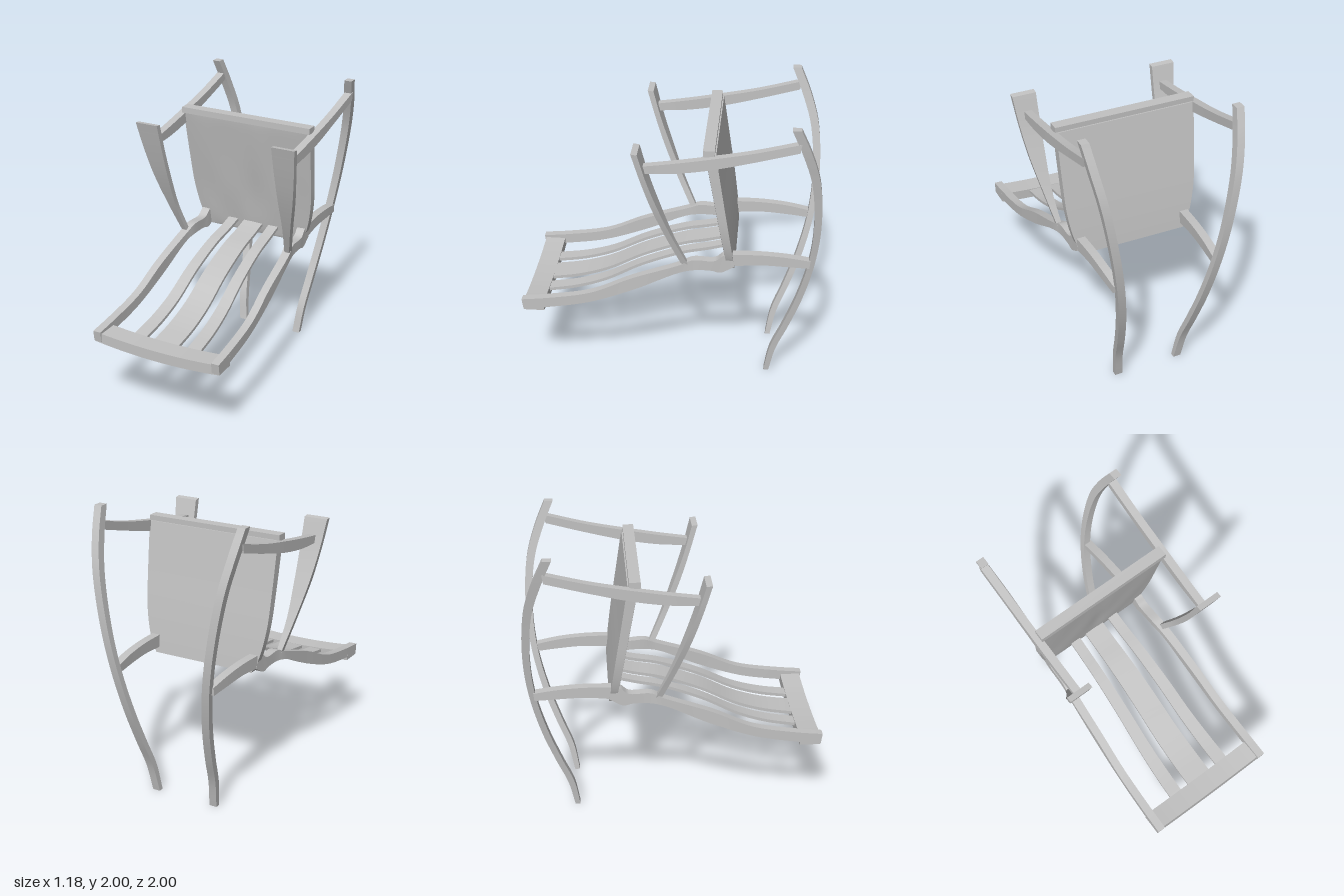
import * as THREE from 'three';

const grey = new THREE.MeshStandardMaterial({ color: 0xc2c2c2 });
grey.name = 'plain grey';
const greySheet = new THREE.MeshStandardMaterial({ color: 0xc2c2c2, side: THREE.DoubleSide });
greySheet.name = 'plain grey cloth';

// Smooth four-sided bar. Each row is [x0, x1, zA, yA, zB, yB]:
// the section spans x0..x1 and runs from edge A to edge B.
function barGeometry(rows, side = 1, perRow = 6) {
  const corner = (r, k) => new THREE.Vector3(side * (k === 1 || k === 2 ? r[1] : r[0]),
    k < 2 ? r[3] : r[5], k < 2 ? r[2] : r[4]);
  const n = (rows.length - 1) * perRow;
  const lines = [0, 1, 2, 3].map(k =>
    new THREE.CatmullRomCurve3(rows.map(r => corner(r, k))).getPoints(n));
  const pos = [], idx = [];
  const put = v => pos.push(v.x, v.y, v.z);
  // separate strips per side keep the long edges sharp
  for (let k = 0; k < 4; k++) {
    const base = pos.length / 3;
    for (let i = 0; i <= n; i++) { put(lines[k][i]); put(lines[(k + 1) % 4][i]); }
    for (let i = 0; i < n; i++) {
      const a = base + i * 2;
      idx.push(a, a + 1, a + 2, a + 1, a + 3, a + 2);
    }
  }
  // end caps
  for (const [i, order] of [[0, [0, 3, 2, 1]], [n, [0, 1, 2, 3]]]) {
    const b = pos.length / 3;
    order.forEach(k => put(lines[k][i]));
    idx.push(b, b + 1, b + 2, b, b + 2, b + 3);
  }
  // turn all faces outward, whichever way the bar runs
  const at = i => new THREE.Vector3().fromArray(pos, i * 3);
  let volume = 0;
  for (let i = 0; i < idx.length; i += 3) {
    volume += at(idx[i]).dot(at(idx[i + 1]).cross(at(idx[i + 2])));
  }
  if (volume < 0) idx.reverse();
  const g = new THREE.BufferGeometry();
  g.setAttribute('position', new THREE.Float32BufferAttribute(pos, 3));
  g.setIndex(idx);
  g.computeVertexNormals();
  return g;
}

export function createModel() {
  const model = new THREE.Group();
  model.name = 'chair';
  const add = (name, geometry, material = grey) => {
    const mesh = new THREE.Mesh(geometry, material);
    mesh.name = name;
    model.add(mesh);
    return mesh;
  };
  const pair = (name, rows) => {
    add('left' + name, barGeometry(rows, 1));
    add('right' + name, barGeometry(rows, -1));
  };

  // long bowed back posts: [y, centre x, front z, back z]
  pair('BackPost', [
    [0, 0.225, -0.66, -0.695], [0.2, 0.245, -0.695, -0.738], [0.4, 0.268, -0.77, -0.815],
    [0.65, 0.3, -0.855, -0.9], [0.95, 0.343, -0.925, -0.968], [1.25, 0.392, -0.948, -0.995],
    [1.6, 0.452, -0.918, -0.973], [1.82, 0.492, -0.85, -0.91], [2, 0.52, -0.775, -0.833],
  ].map(([y, x, f, b]) => [x - 0.027, x + 0.027, f, y, b, y]));

  // arms
  pair('Arm', [
    [0.47, 0.522, 0.165, 1.705, 0.155, 1.655],
    [0.472, 0.525, -0.04, 1.735, -0.04, 1.665],
    [0.475, 0.528, -0.27, 1.775, -0.27, 1.7],
    [0.478, 0.53, -0.55, 1.83, -0.54, 1.765],
    [0.48, 0.535, -0.84, 1.905, -0.83, 1.845],
  ]);

  // tapering front arm supports
  pair('ArmSupport', [
    [0.39, 0.425, -0.085, 0.95, -0.13, 0.945],
    [0.415, 0.475, 0.01, 1.17, -0.035, 1.16],
    [0.42, 0.53, 0.1, 1.41, 0.055, 1.4],
    [0.422, 0.565, 0.165, 1.62, 0.125, 1.61],
    [0.425, 0.59, 0.22, 1.82, 0.18, 1.815],
  ]);

  // wavy seat rails
  pair('SeatRail', [
    [0.415, 0.47, 1, 0.635, 0.99, 0.56],
    [0.412, 0.467, 0.82, 0.655, 0.82, 0.582],
    [0.404, 0.459, 0.52, 0.71, 0.54, 0.632],
    [0.392, 0.447, 0.25, 0.828, 0.23, 0.743],
    [0.373, 0.432, -0.075, 0.94, -0.065, 0.878],
    [0.36, 0.42, -0.16, 0.975, -0.17, 0.9],
    [0.355, 0.415, -0.31, 0.975, -0.29, 0.898],
    [0.352, 0.412, -0.365, 1.015, -0.345, 0.885],
    [0.35, 0.41, -0.42, 1.025, -0.44, 0.935],
  ]);

  // rails joining the seat to the back posts
  pair('RearRail', [
    [0.35, 0.41, -0.4, 1.024, -0.4, 0.935],
    [0.345, 0.402, -0.6, 1.026, -0.6, 0.95],
    [0.338, 0.395, -0.78, 1.012, -0.78, 0.942],
    [0.328, 0.385, -0.94, 0.985, -0.935, 0.93],
  ]);

  // seat slats, narrowing toward the back: [z, top y, side inner x, side outer x, middle half width]
  const slatPath = [
    [0.87, 0.595, 0.155, 0.25, 0.092], [0.65, 0.632, 0.15, 0.242, 0.09],
    [0.45, 0.695, 0.145, 0.232, 0.087], [0.2, 0.82, 0.138, 0.22, 0.083],
    [-0.08, 0.92, 0.13, 0.207, 0.078], [-0.25, 0.955, 0.125, 0.2, 0.075],
    [-0.39, 0.99, 0.122, 0.197, 0.074],
  ];
  pair('SeatSlat', slatPath.map(([z, y, a, b]) => [a, b, z, y, z, y - 0.022]));
  add('middleSeatSlat', barGeometry(slatPath.map(([z, y, , , w]) => [-w, w, z, y, z, y - 0.022])));

  // sagging front crossbar between the seat rails
  const bar = new THREE.Shape();
  bar.moveTo(-0.468, 0.555);
  bar.quadraticCurveTo(0, 0.497, 0.468, 0.555);
  bar.lineTo(0.468, 0.625);
  bar.quadraticCurveTo(0, 0.575, -0.468, 0.625);
  const barGeo = new THREE.ExtrudeGeometry(bar, { depth: 0.14, bevelEnabled: false, curveSegments: 16 });
  barGeo.translate(0, 0, 0.847);
  add('frontCrossbar', barGeo);

  // backrest panel: [y, half width, front z, back z]
  const panel = [
    [0.9, 0.37, -0.395, -0.44], [1, 0.418, -0.378, -0.428], [1.2, 0.46, -0.345, -0.4],
    [1.45, 0.475, -0.3, -0.36], [1.78, 0.485, -0.24, -0.308],
  ];
  add('backrestPanel', barGeometry(panel.map(([y, w, f, b]) => [-w, w, f, y, b, y])));
  const rim = add('backrestTopRim', new THREE.BoxGeometry(0.98, 0.042, 0.075));
  rim.position.set(0, 1.794, -0.262);

  // softly dented cloth over the front of the panel
  const widths = new THREE.SplineCurve(panel.map(r => new THREE.Vector2(r[1], r[2])));
  const heights = new THREE.SplineCurve(panel.map(r => new THREE.Vector2(r[0], 0)));
  const cloth = new THREE.PlaneGeometry(2, 1, 28, 28);
  const p = cloth.attributes.position;
  for (let i = 0; i < p.count; i++) {
    const u = p.getX(i), t = p.getY(i) + 0.5;
    const edge = widths.getPoint(t);
    const fade = (1 - u ** 4) * Math.sin(Math.PI * t) ** 0.5;
    const dent = 0.008 + 0.003 * Math.sin(u * 7 + 1) * Math.sin(t * 9) - 0.004 * Math.exp(-60 * u * u);
    p.setXYZ(i, u * (edge.x - 0.012), heights.getPoint(t).x, edge.y + 0.003 + dent * fade);
  }
  cloth.computeVertexNormals();
  add('backrestCloth', cloth, greySheet);

  return model;
}
